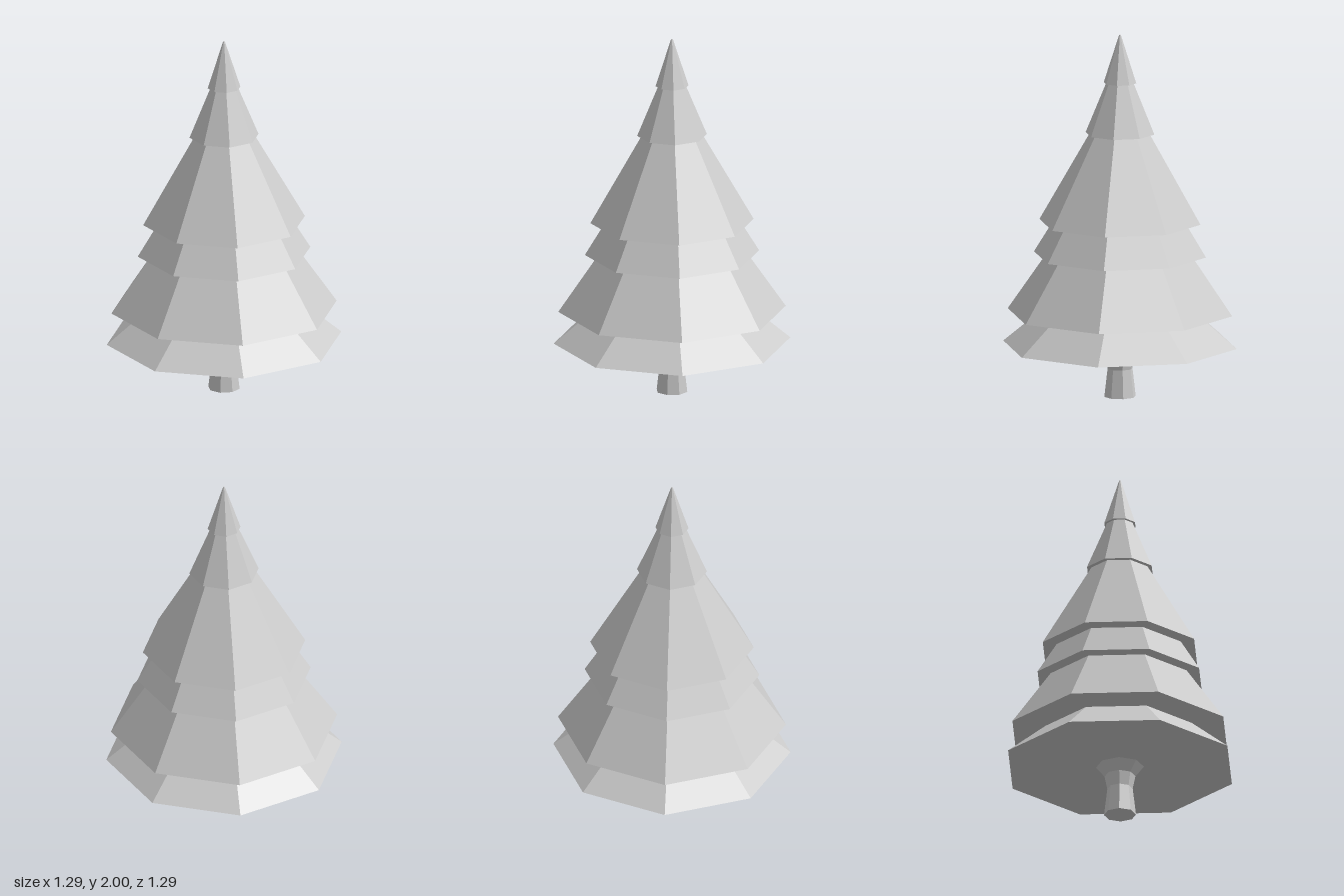
import * as THREE from 'three';

const SIDES = 8;

// Branch tiers, bottom to top: [lower radius, lower y, upper radius, upper y]
const TIERS = [
  [0.645, 0.285, 0.43, 0.465],
  [0.62, 0.465, 0.40, 0.785],
  [0.475, 0.785, 0.365, 0.965],
  [0.445, 0.965, 0.165, 1.455],
  [0.19, 1.455, 0.075, 1.735],
  [0.09, 1.735, 0.005, 2.0],
];

// Trunk outline [radius, y], flaring out under the branches
const TRUNK = [
  [0, 0], [0.087, 0], [0.069, 0.155], [0.084, 0.23], [0.13, 0.285],
];

export function createModel() {
  const group = new THREE.Group();
  group.name = 'pineTree';
  const material = new THREE.MeshStandardMaterial({ color: 0xcccccc, flatShading: true });

  // Trunk, turned half a side so that a flat faces the front
  const outline = TRUNK.map(([r, y]) => new THREE.Vector2(r, y));
  const trunk = new THREE.Mesh(new THREE.LatheGeometry(outline, SIDES, Math.PI / SIDES), material);
  trunk.name = 'trunk';
  group.add(trunk);

  // Stacked branch tiers, each with a corner facing the front
  TIERS.forEach(([r0, y0, r1, y1], i) => {
    const tier = new THREE.Mesh(new THREE.CylinderGeometry(r1, r0, y1 - y0, SIDES), material);
    tier.position.y = (y0 + y1) / 2;
    tier.name = `branchTier${i + 1}`;
    group.add(tier);
  });

  return group;
}
